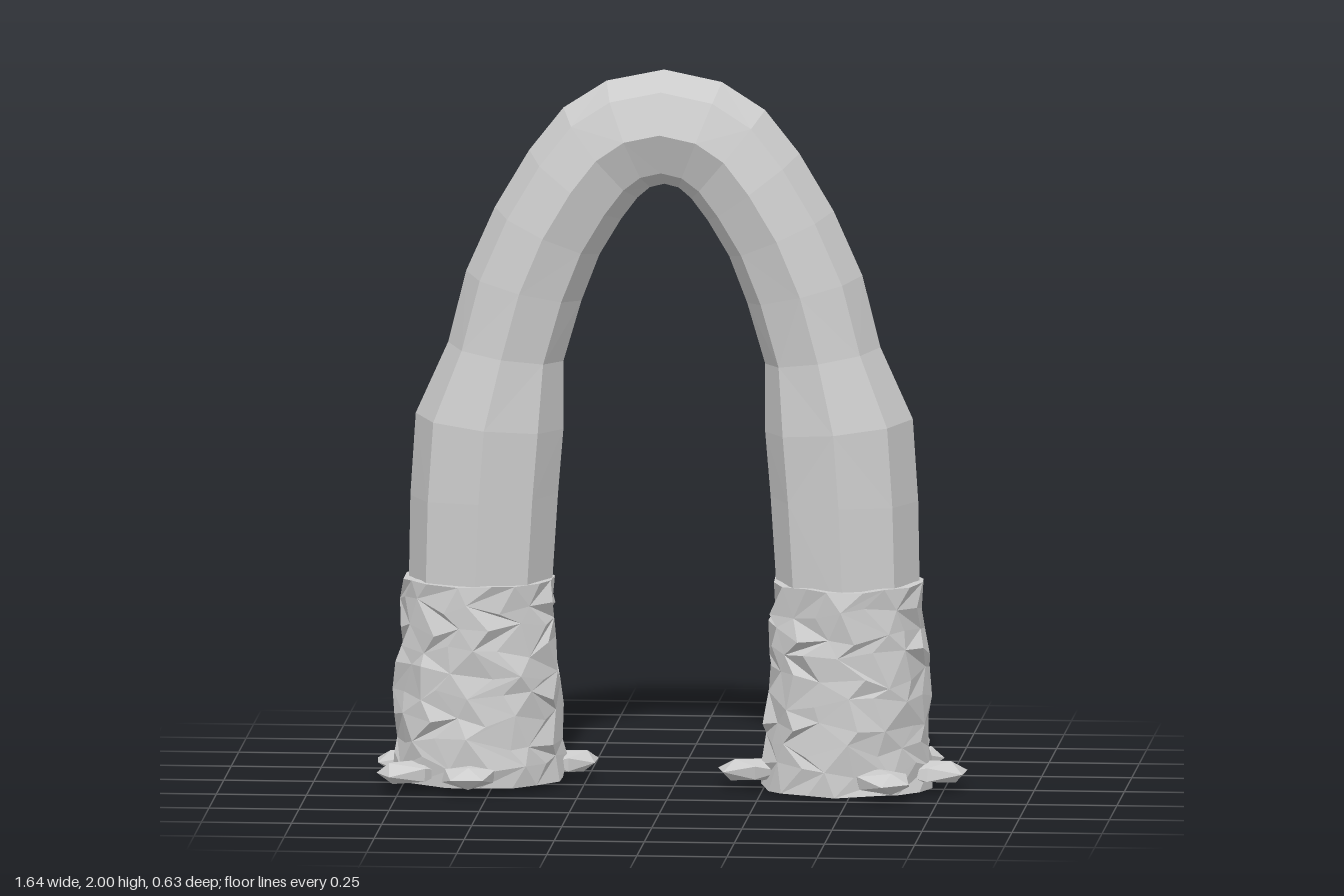
import * as THREE from 'three';

const CX = -0.03, CZ = -0.035; // arch symmetry centre

function seeded(seed) {
  let s = seed;
  return () => {
    s = (s * 16807) % 2147483647;
    return (s / 2147483647) * 2 - 1;
  };
}

// Closed, flat-faced skin over a list of rings with equal point counts
function loft(rings) {
  const n = rings[0].length, pos = [], idx = [];
  rings.forEach(r => r.forEach(p => pos.push(p.x, p.y, p.z)));
  for (let i = 0; i < rings.length - 1; i++)
    for (let j = 0; j < n; j++) {
      const a = i * n + j, b = i * n + (j + 1) % n;
      if ((i + j) % 2) idx.push(a, b, a + n, b, b + n, a + n);
      else idx.push(a, b, b + n, a, b + n, a + n);
    }
  const cap = (i, flip) => {
    const c = rings[i].reduce((s, p) => s.add(p), new THREE.Vector3()).divideScalar(n);
    const k = pos.length / 3;
    pos.push(c.x, c.y, c.z);
    for (let j = 0; j < n; j++) {
      const a = i * n + j, b = i * n + (j + 1) % n;
      idx.push(k, flip ? b : a, flip ? a : b);
    }
  };
  cap(0, true);
  cap(rings.length - 1, false);
  return flat(new THREE.BufferGeometry()
    .setAttribute('position', new THREE.Float32BufferAttribute(pos, 3)).setIndex(idx));
}

function flat(geometry) {
  const g = geometry.index ? geometry.toNonIndexed() : geometry;
  g.computeVertexNormals();
  return g;
}

// Eight-sided arch: each station is outer x, y, inner x, y, half depth
function archGeometry() {
  const half = [
    [-0.74, 0.5, -0.345, 0.5, 0.2],
    [-0.735, 0.8, -0.325, 0.81, 0.2],
    [-0.72, 1.03, -0.31, 0.99, 0.197],
    [-0.63, 1.23, -0.31, 1.18, 0.165],
    [-0.58, 1.43, -0.26, 1.35, 0.163],
    [-0.5, 1.61, -0.21, 1.48, 0.163],
    [-0.405, 1.77, -0.15, 1.58, 0.163],
    [-0.31, 1.89, -0.105, 1.64, 0.158],
    [-0.19, 1.967, -0.07, 1.67, 0.163],
  ];
  const mirrored = half.map(([ox, oy, ix, iy, d]) => [2 * CX - ox, oy, 2 * CX - ix, iy, d]).reverse();
  const stations = [...half, [CX, 2, CX, 1.68, 0.163], ...mirrored];
  return loft(stations.map(([ox, oy, ix, iy, d]) => {
    const ring = [];
    for (let j = 0; j < 8; j++) {
      const a = j * Math.PI / 4, c = Math.cos(a) / 2;
      ring.push(new THREE.Vector3((ox + ix) / 2 + (ox - ix) * c,
        (oy + iy) / 2 + (oy - iy) * c, CZ + d * Math.sin(a)));
    }
    return ring;
  }));
}

// Rugged, slightly flared stone sleeve around a leg
function footGeometry(x, base, seed) {
  const rnd = seeded(seed), rows = 9, sides = 16, rings = [];
  for (let i = 0; i <= rows; i++) {
    const t = i / rows, edge = i === 0 || i === rows, ring = [];
    for (let j = 0; j < sides; j++) {
      const a = (j + (i % 2) * 0.5 + rnd() * 0.25) / sides * Math.PI * 2;
      const r = 0.238 - 0.026 * t + rnd() * (edge ? 0.004 : 0.013);
      const y = base + t * (0.575 - base) + rnd() * (edge ? 0.004 : 0.022);
      ring.push(new THREE.Vector3(x + r * Math.cos(a), y, CZ - r * Math.sin(a)));
    }
    rings.push(ring);
  }
  return loft(rings);
}

// Flat, pointed stone; equal corners get equal shifts so it stays closed
function pebbleGeometry(k) {
  const g = new THREE.IcosahedronGeometry(1, 0), p = g.attributes.position;
  for (let i = 0; i < p.count; i++) {
    const x = p.getX(i), y = p.getY(i), z = p.getZ(i);
    const s = 1 + 0.14 * Math.sin(7 * x + 5 * y + 9 * z + k * 2.1);
    p.setXYZ(i, x * s * 0.105, y * 0.035, z * s * 0.085);
  }
  return flat(g);
}

export function createModel() {
  const group = new THREE.Group();
  const stone = new THREE.MeshStandardMaterial({ color: 0xcccccc, flatShading: true });
  stone.name = 'grey stone';
  const add = (name, geometry) => {
    const mesh = new THREE.Mesh(geometry, stone);
    mesh.name = name;
    group.add(mesh);
    return mesh;
  };

  add('arch', archGeometry());
  add('rightFoot', footGeometry(-0.545, 0.015, 41));
  add('leftFoot', footGeometry(0.48, 0.003, 977));

  // Stones around the feet: x, z
  [
    [-0.73, 0.13], [-0.55, 0.19], [-0.74, -0.06], [-0.31, -0.09],
    [0.72, 0], [0.6, 0.2], [0.65, -0.21], [0.22, 0.01],
  ].forEach(([x, z], k) => {
    const cx = x < 0 ? -0.545 : 0.48;
    const pebble = add('pebble' + (k + 1), pebbleGeometry(k));
    pebble.position.set(x, 0.05, z);
    pebble.rotation.y = -Math.atan2(z - CZ, x - cx);
  });
  return group;
}
